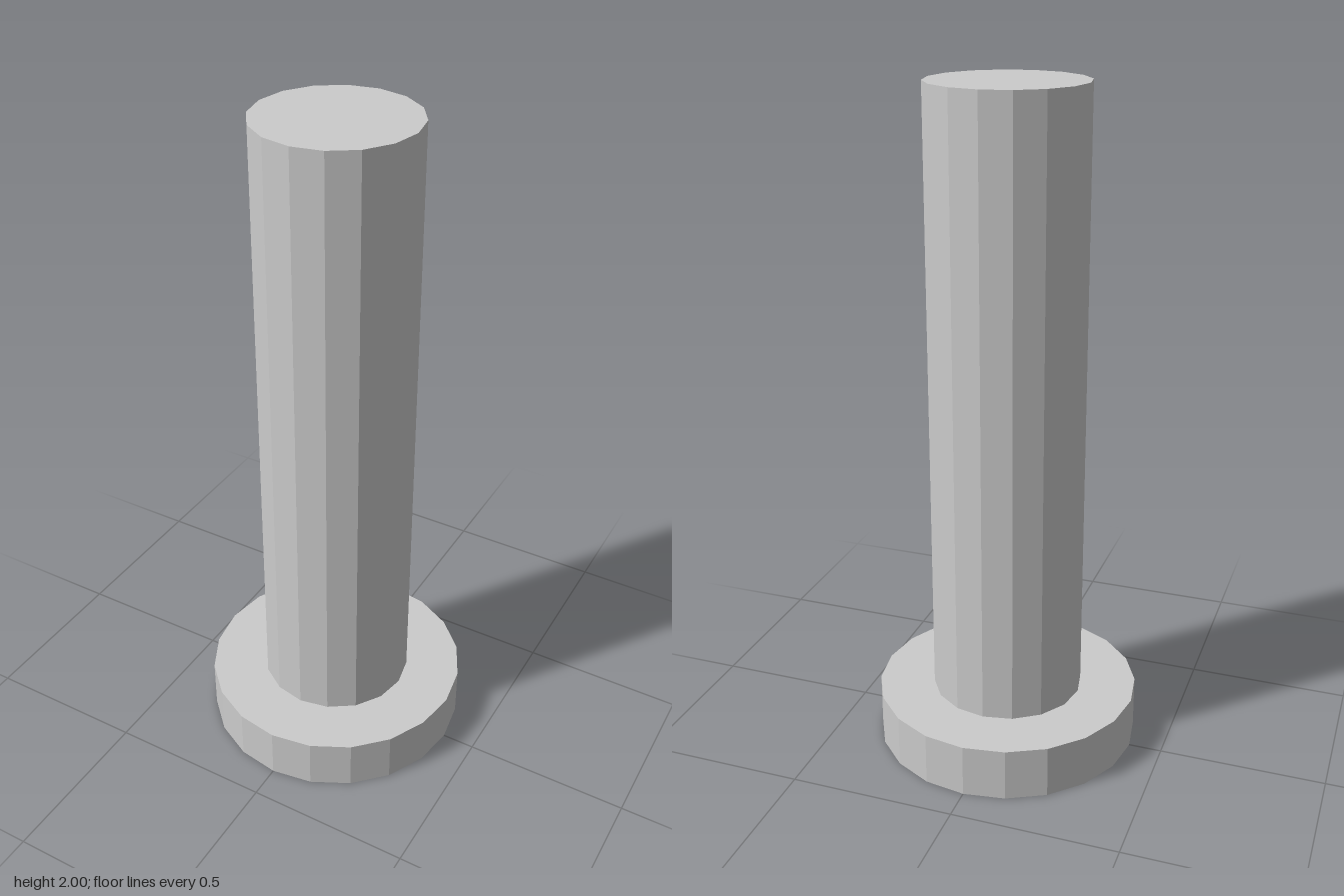
import * as THREE from 'three';

const HEAD_RADIUS = 0.4, HEAD_HEIGHT = 0.16, HEAD_SIDES = 20;
const SHAFT_RADIUS = 0.23, SHAFT_SIDES = 16, TOTAL_HEIGHT = 2;
const ARM = 0.2, HALF_WIDTH = 0.045, RECESS_DEPTH = 0.1;

// Outline of the cross-shaped drive recess: three corners per quarter turn
function crossPath() {
  const points = [];
  for (let i = 0; i < 4; i++) {
    for (const [x, y] of [[ARM, -HALF_WIDTH], [ARM, HALF_WIDTH], [HALF_WIDTH, HALF_WIDTH]]) {
      points.push(new THREE.Vector2(x, y).rotateAround(new THREE.Vector2(), i * Math.PI / 2));
    }
  }
  return new THREE.Path(points);
}

export function createModel() {
  const group = new THREE.Group();
  group.name = 'screw';
  const material = new THREE.MeshStandardMaterial({ color: 0xcccccc, flatShading: true });

  // Flat head, pierced by the cross
  const outline = [];
  for (let i = 0; i < HEAD_SIDES; i++) {
    const a = i / HEAD_SIDES * Math.PI * 2;
    outline.push(new THREE.Vector2(Math.cos(a), Math.sin(a)).multiplyScalar(HEAD_RADIUS));
  }
  const shape = new THREE.Shape(outline);
  shape.holes.push(crossPath());
  const headGeometry = new THREE.ExtrudeGeometry(shape, { depth: HEAD_HEIGHT, bevelEnabled: false });
  headGeometry.rotateX(-Math.PI / 2);
  const head = new THREE.Mesh(headGeometry, material);
  head.name = 'head';
  group.add(head);

  // Shaft, sunk into the head so its lower end is the floor of the recess
  const length = TOTAL_HEIGHT - RECESS_DEPTH;
  const shaft = new THREE.Mesh(
    new THREE.CylinderGeometry(SHAFT_RADIUS, SHAFT_RADIUS, length, SHAFT_SIDES), material);
  shaft.position.y = RECESS_DEPTH + length / 2;
  shaft.name = 'shaft';
  group.add(shaft);

  return group;
}
